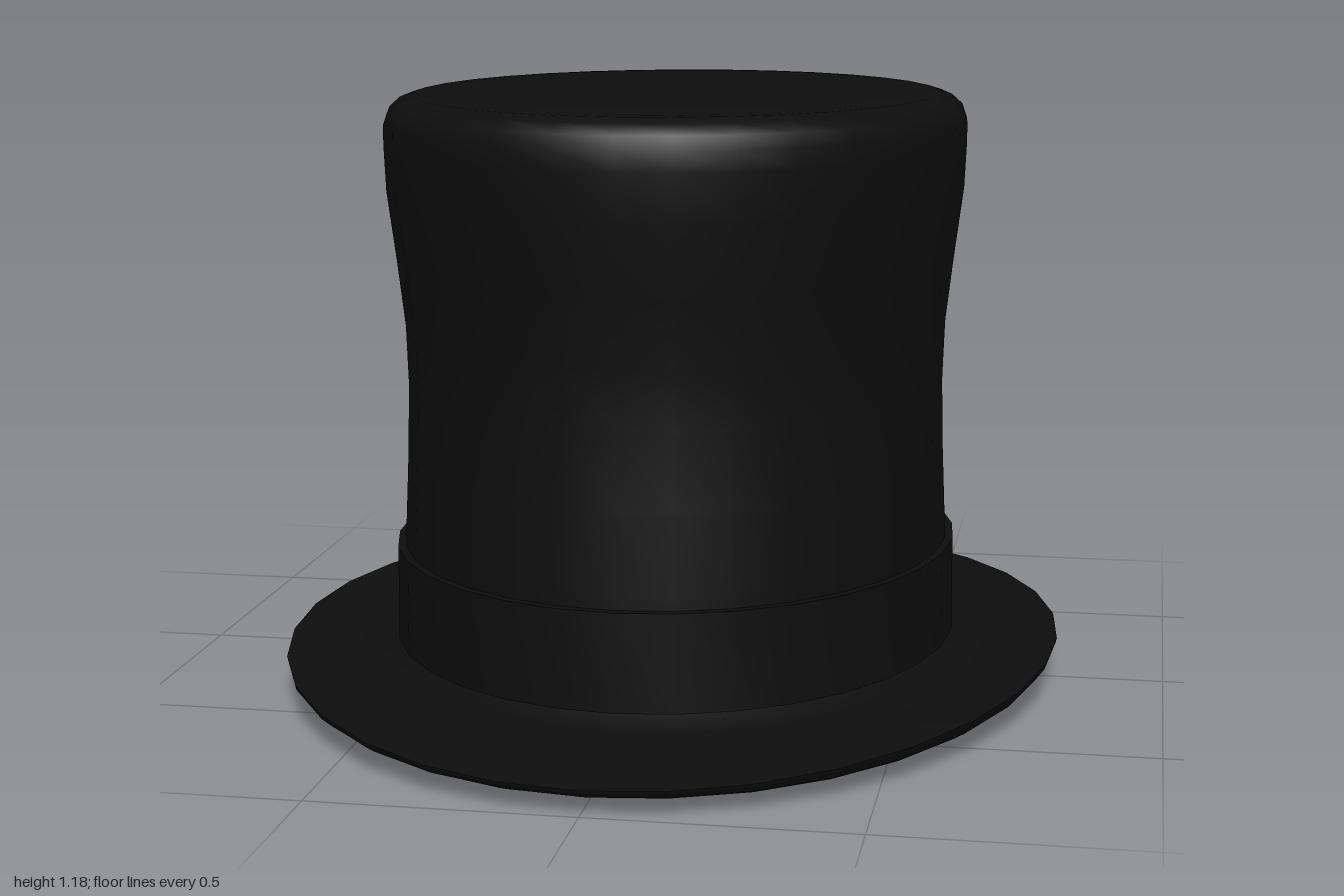
import * as THREE from 'three';

const SIDES = 32;

// Skins a list of elliptical rings [rx, rz, ySide, yEnd]; the height swings
// between ySide (at +-x) and yEnd (at +-z), which gives the brim its saddle curve.
function loft(rings) {
  const pos = [], index = [];
  rings.forEach(([rx, rz, ySide, yEnd = ySide], j) => {
    for (let i = 0; i < SIDES; i++) {
      const a = (i / SIDES) * Math.PI * 2, c = Math.cos(a);
      pos.push(rx * c, yEnd + (ySide - yEnd) * c * c, rz * Math.sin(a));
      if (j === rings.length - 1) continue;
      const p = j * SIDES + i, q = j * SIDES + ((i + 1) % SIDES);
      index.push(p, q, p + SIDES, q, q + SIDES, p + SIDES);
    }
  });
  const g = new THREE.BufferGeometry();
  g.setAttribute('position', new THREE.Float32BufferAttribute(pos, 3));
  g.setIndex(index);
  g.computeVertexNormals();
  return g;
}

export function createModel() {
  const hat = new THREE.Group();
  hat.name = 'topHat';
  const felt = new THREE.MeshStandardMaterial({ color: 0x0d0d0d });
  felt.name = 'black felt';

  const add = (name, rings) => {
    const mesh = new THREE.Mesh(loft(rings), felt);
    mesh.name = name;
    hat.add(mesh);
  };
  const oval = ([r, y]) => [r, r * 1.203, y];

  // Crown: flat top, rounded shoulder, pinched waist
  const wall = [
    [0.583, 1.13], [0.583, 1.09], [0.579, 1.0], [0.561, 0.86], [0.546, 0.73],
    [0.542, 0.61], [0.546, 0.46], [0.553, 0.3], [0.557, 0.08],
  ];
  add('crown', [
    [0, 1.185], [0.3, 1.185], [0.5, 1.185], [0.525, 1.184],
    [0.553, 1.175], [0.574, 1.156], ...wall,
  ].map(oval));

  // Ribbon band around the foot of the crown
  add('band', [[0.55, 0.281], [0.569, 0.281]].map(oval));
  add('band', [[0.569, 0.281], [0.57, 0.09]].map(oval));
  add('band', [[0.57, 0.09], [0.55, 0.09]].map(oval));

  // Brim: fillet, upper face, thin rim, rolled underside
  add('brimTop', [
    [0.55, 0.66, 0.09, 0.09], [0.565, 0.685, 0.082, 0.078],
    [0.59, 0.72, 0.067, 0.064], [0.66, 0.82, 0.071, 0.058],
    [0.73, 0.92, 0.076, 0.053], [0.785, 1, 0.081, 0.048],
  ]);
  add('brimUnderside', [
    [0.785, 1, 0.081, 0.048], [0.783, 0.998, 0.072, 0.04],
    [0.765, 0.97, 0.047, 0.027], [0.742, 0.935, 0.029, 0.014],
    [0.705, 0.89, 0.017, 0.005], [0.63, 0.79, 0.013, 0.001],
    [0.56, 0.68, 0.013, 0], [0.538, 0.65, 0.022, 0.014],
    [0.53, 0.638, 0.05, 0.05],
  ]);

  // Hollow inside: wall following the crown, closed by a ceiling
  const inner = wall.map(([r, y]) => [r - 0.027, y - 0.03]).reverse();
  add('lining', [...inner, [0.5, 1.155], [0.3, 1.155], [0, 1.155]].map(oval));

  return hat;
}
